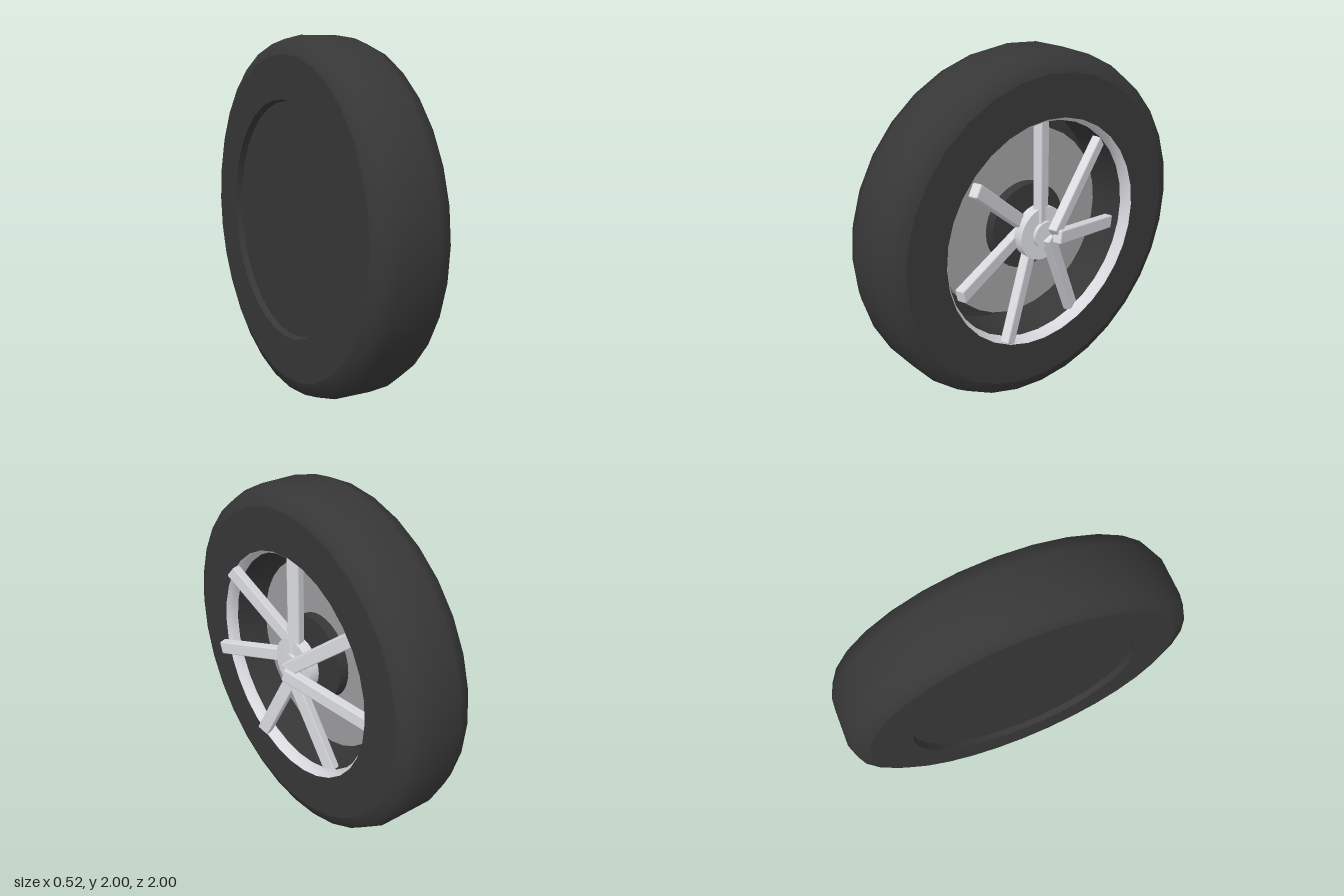
import * as THREE from 'three';
import { toCreasedNormals } from 'three/addons/utils/BufferGeometryUtils.js';
import { RoundedBoxGeometry } from 'three/addons/geometries/RoundedBoxGeometry.js';

const SEGMENTS = 32;

export function createModel() {
  const model = new THREE.Group();
  model.name = 'wheel';

  const rubber = new THREE.MeshStandardMaterial({ name: 'dark rubber', color: 0x373737 });
  const alloy = new THREE.MeshStandardMaterial({ name: 'light alloy', color: 0xd8d9de });
  const steel = new THREE.MeshStandardMaterial({ name: 'brake steel', color: 0x9c9c9e });

  // Axle runs along x at height 1; profiles are [radius, x] pairs
  const addTurned = (name, profile, material) => {
    const points = profile.map(([r, x]) => new THREE.Vector2(r, x));
    const geometry = toCreasedNormals(new THREE.LatheGeometry(points, SEGMENTS), 0.9);
    const mesh = new THREE.Mesh(geometry, material);
    mesh.name = name;
    mesh.rotation.z = -Math.PI / 2;
    mesh.position.y = 1;
    model.add(mesh);
  };
  const addDisc = (name, radius, x0, x1, material) =>
    addTurned(name, [[0, x0], [radius, x0], [radius, x1], [0, x1]], material);

  // Tyre: rounded tread, flat sidewalls and inner barrel
  addTurned('tread', [
    [0.9, -0.25], [0.97, -0.22], [1, -0.14], [1, 0.08], [0.97, 0.16], [0.9, 0.19],
  ], rubber);
  addTurned('innerSidewall', [[0.66, -0.25], [0.9, -0.25]], rubber);
  addTurned('outerSidewall', [[0.9, 0.19], [0.66, 0.19]], rubber);
  addTurned('barrel', [[0.66, 0.19], [0.645, 0.12], [0.645, -0.2], [0.66, -0.25]], rubber);

  // Dark back plate and the bright rounded lip inside the tyre
  addDisc('backPlate', 0.655, -0.215, -0.18, rubber);
  addTurned('rimLip', [
    [0.659, 0.187], [0.645, 0.17], [0.636, 0.145], [0.635, 0.12], [0.65, 0.12],
  ], alloy);

  // Brake disc, its raised centre, and the hub
  addDisc('brakeDisc', 0.555, -0.07, -0.03, steel);
  addDisc('brakeHat', 0.25, -0.08, 0.03, rubber);
  addDisc('hub', 0.155, 0.1, 0.165, alloy);
  addDisc('hubCap', 0.075, 0.16, 0.187, alloy);

  // Seven spokes, all skewed the same way about the vertical
  const spokeGeometry = new RoundedBoxGeometry(0.055, 0.635, 0.078, 1, 0.008);
  for (let i = 0; i < 7; i++) {
    const angle = (i / 7) * Math.PI * 2;
    const spoke = new THREE.Mesh(spokeGeometry, alloy);
    spoke.name = `spoke${i + 1}`;
    spoke.position.set(0.14, 1 + 0.335 * Math.cos(angle), 0.335 * Math.sin(angle));
    spoke.rotation.set(angle, 0.33, 0, 'YXZ');
    model.add(spoke);
  }

  return model;
}
